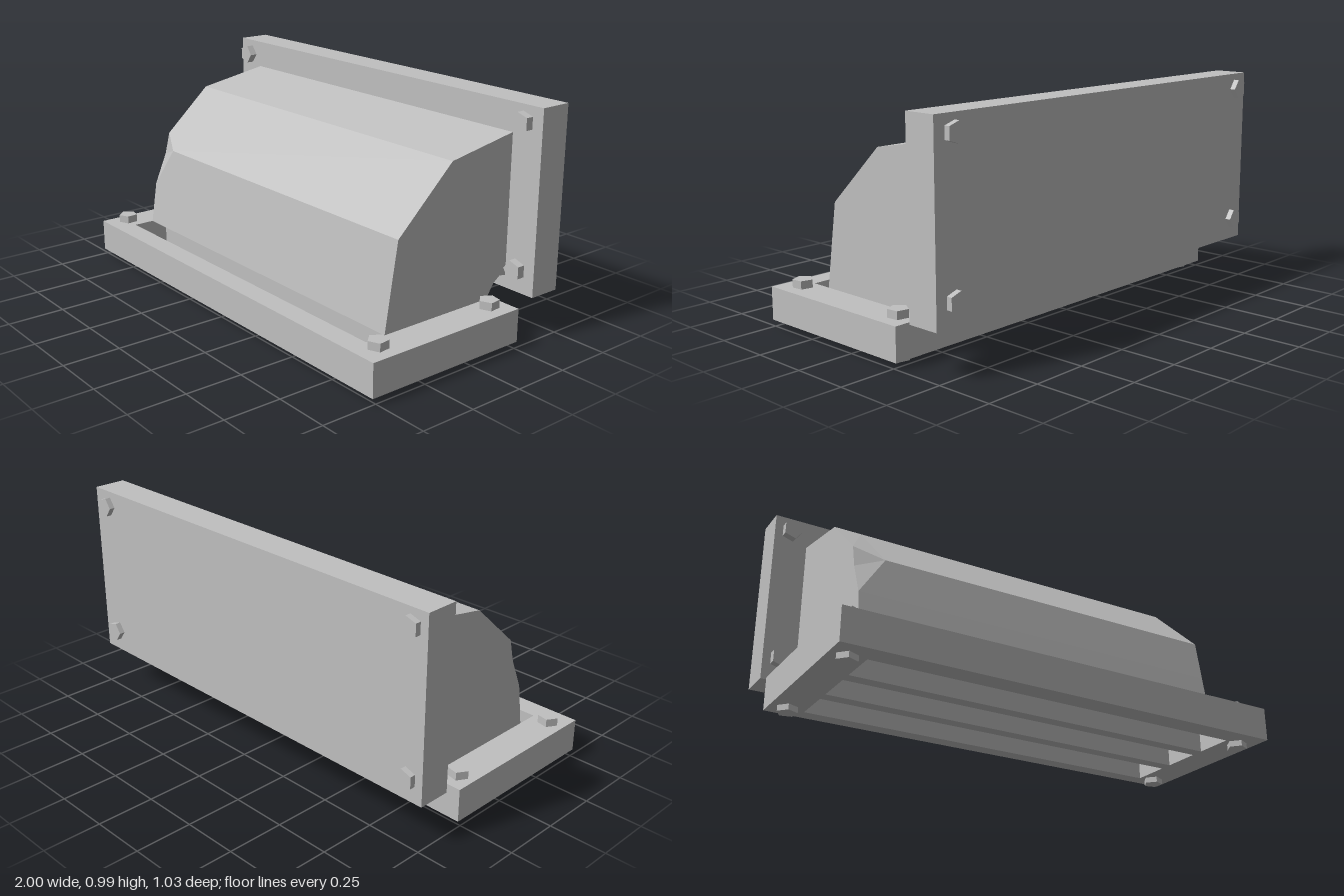
import * as THREE from 'three';

// Closed hood lofted between cross-sections [z, y] placed along x
function loftHood(sections) {
  const pos = [];
  const put = (x, p) => pos.push(x, p[1], p[0]);
  for (let s = 0; s < sections.length - 1; s++) {
    const a = sections[s], b = sections[s + 1], n = a.pts.length;
    for (let j = 0; j < n; j++) {
      const k = (j + 1) % n;
      put(a.x, a.pts[j]); put(a.x, a.pts[k]); put(b.x, b.pts[j]);
      put(a.x, a.pts[k]); put(b.x, b.pts[k]); put(b.x, b.pts[j]);
    }
  }
  // End caps, each triangle turned to face outwards
  for (const [sec, side] of [[sections[0], 1], [sections[sections.length - 1], -1]]) {
    const contour = sec.pts.map(p => new THREE.Vector2(p[0], p[1]));
    for (const tri of THREE.ShapeUtils.triangulateShape(contour, [])) {
      const [a, b, c] = tri.map(i => contour[i]);
      const turn = (b.x - a.x) * (c.y - a.y) - (b.y - a.y) * (c.x - a.x);
      const order = (turn < 0) === (side > 0) ? tri : [tri[0], tri[2], tri[1]];
      order.forEach(i => put(sec.x, sec.pts[i]));
    }
  }
  const g = new THREE.BufferGeometry();
  g.setAttribute('position', new THREE.Float32BufferAttribute(pos, 3));
  g.computeVertexNormals();
  return g;
}

export function createModel() {
  const model = new THREE.Group();
  model.name = 'ventHood';
  const metal = new THREE.MeshStandardMaterial({ color: 0xc0c0c0 });
  metal.name = 'grey metal';
  metal.flatShading = true;

  const add = (name, geometry) => {
    const mesh = new THREE.Mesh(geometry, metal);
    mesh.name = name;
    model.add(mesh);
    return mesh;
  };

  // Base plate with three long slots
  const rect = (Type, x, z0, z1) => {
    const r = new Type();
    r.moveTo(-x, -z1); r.lineTo(x, -z1); r.lineTo(x, -z0); r.lineTo(-x, -z0);
    r.closePath();
    return r;
  };
  const plate = rect(THREE.Shape, 1, -0.265, 0.515);
  for (const z of [-0.115, 0.11, 0.335]) {
    plate.holes.push(rect(THREE.Path, 0.85, z - 0.085, z + 0.085));
  }
  const base = new THREE.ExtrudeGeometry(plate, { depth: 0.145, bevelEnabled: false });
  base.rotateX(-Math.PI / 2);
  add('basePlate', base).position.y = 0.025;

  // Wall plate
  add('wallPlate', new THREE.BoxGeometry(2, 0.79, 0.145)).position.set(0, 0.59, -0.4175);

  // Faceted hood with one dented front corner
  const back = [[-0.01, 0.80], [-0.345, 0.86], [-0.345, 0.25], [-0.31, 0.255], [-0.275, 0.23], [-0.235, 0.17]];
  const foot = [[0.325, 0.17], [0.295, 0.36]];
  const full = [...foot, [0.265, 0.543], [0.265, 0.543], ...back];
  const dented = [...foot, [0.235, 0.50], [0.21, 0.60], ...back];
  add('hood', loftHood([
    { x: 0.85, pts: full },
    { x: -0.73, pts: full },
    { x: -0.85, pts: dented },
  ]));

  // Five-sided bolts through both plates
  const bolt = new THREE.CylinderGeometry(0.044, 0.044, 0.205, 5);
  for (const side of [-1, 1]) {
    const x = side < 0 ? -0.928 : 0.912;
    for (const z of [-0.183, 0.415]) {
      const b = add('baseBolt', bolt);
      b.position.set(x, 0.1025, z);
      b.rotation.y = -Math.PI / 2 + 0.1;
    }
    for (const y of [0.295, 0.915]) {
      const b = add('wallBolt', bolt.clone().rotateX(Math.PI / 2));
      b.position.set(x, y, -0.4125);
      b.rotation.z = -side * Math.PI / 2;
    }
  }
  return model;
}
